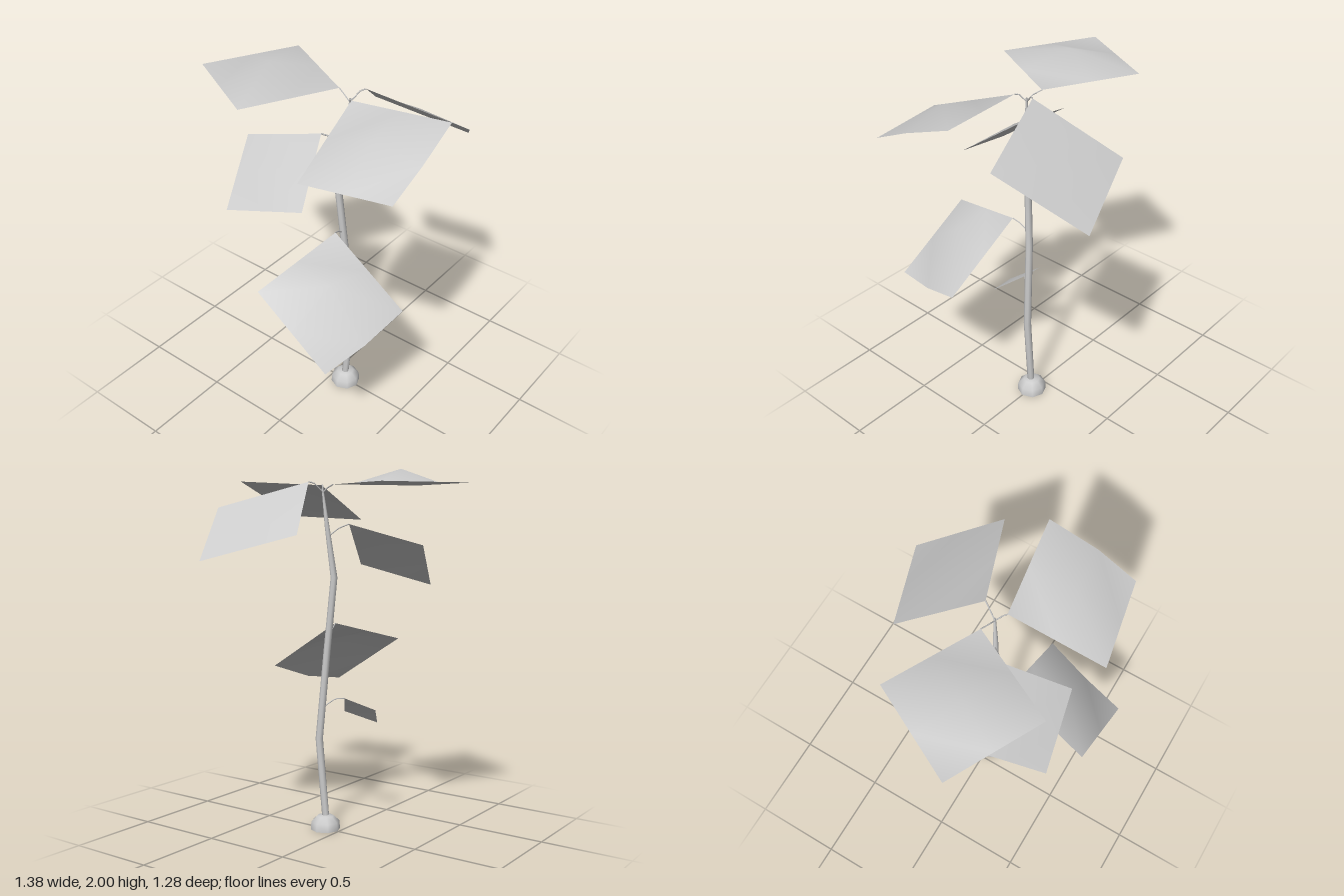
import * as THREE from 'three';

const material = new THREE.MeshStandardMaterial({ color: 0xcccccc, side: THREE.DoubleSide });
const V = (p) => new THREE.Vector3(...p);

function add(parent, geometry, name) {
  const mesh = new THREE.Mesh(geometry, material);
  mesh.name = name;
  parent.add(mesh);
  return mesh;
}

function build(points, index) {
  const geometry = new THREE.BufferGeometry().setFromPoints(points);
  geometry.setIndex(index);
  geometry.computeVertexNormals();
  return geometry;
}

// Tapered stalk: one horizontal ring of vertices per [x, y, z, radius] station
function stalk(stations, sides) {
  const points = [], index = [];
  stations.forEach(([x, y, z, r], i) => {
    for (let j = 0; j < sides; j++) {
      const a = (j / sides) * Math.PI * 2;
      points.push(new THREE.Vector3(x + r * Math.sin(a), y, z + r * Math.cos(a)));
      if (i === 0) continue;
      const k = (j + 1) % sides, lo = (i - 1) * sides, hi = i * sides;
      index.push(lo + j, lo + k, hi + j, lo + k, hi + k, hi + j);
    }
  });
  return build(points, index);
}

// Square leaf: 3 x 3 grid between four corners, raised in the middle
function blade([base, sideA, tip, sideB], lift, edgeShift = [0, 0, 0]) {
  const points = [], index = [];
  for (let i = 0; i < 3; i++) {
    for (let j = 0; j < 3; j++) {
      const near = V(base).lerp(V(sideA), i / 2);
      const far = V(sideB).lerp(V(tip), i / 2);
      points.push(near.lerp(far, j / 2));
    }
  }
  points[4].y += lift;
  points[5].add(V(edgeShift));
  for (let i = 0; i < 2; i++) {
    for (let j = 0; j < 2; j++) {
      const a = i * 3 + j, b = a + 3, c = a + 4, d = a + 1;
      index.push(a, b, d, b, c, d);
    }
  }
  return build(points, index);
}

// Thin bent stem from the trunk to a leaf
function petiole(points) {
  const path = new THREE.CurvePath();
  for (let i = 1; i < points.length; i++) {
    path.add(new THREE.LineCurve3(V(points[i - 1]), V(points[i])));
  }
  return new THREE.TubeGeometry(path, 6, 0.004, 4);
}

// corners: base, one side, tip, other side
const leaves = [
  {
    name: 'topRightLeaf', lift: 0.075,
    corners: [[0.02, 1.92, -0.02], [-0.446, 1.922, -0.267], [-0.69, 1.922, 0.21], [-0.217, 1.922, 0.456]],
    stem: [[0.105, 1.88, 0.005], [0.07, 1.905, 0]],
  },
  {
    name: 'topLeftLeaf', lift: 0.065, edgeShift: [0.014, 0.005, 0.02],
    corners: [[0.146, 1.92, 0.048], [0.222, 1.732, 0.548], [0.687, 1.755, 0.458], [0.665, 1.948, -0.026]],
    stem: [[0.105, 1.88, 0.005], [0.13, 1.92, 0.035]],
  },
  {
    name: 'topBackLeaf', lift: 0.02,
    corners: [[0.146, 1.935, -0.07], [0.635, 1.8, -0.25], [0.41, 1.525, -0.644], [-0.076, 1.66, -0.46]],
    stem: [[0.105, 1.88, 0.005], [0.13, 1.93, -0.045]],
  },
  {
    name: 'upperFrontLeaf', lift: 0.03,
    corners: [[0, 1.71, 0.1], [-0.415, 1.6, 0.19], [-0.27, 1.367, 0.526], [0.146, 1.475, 0.432]],
    stem: [[0.075, 1.65, 0.025], [0.04, 1.69, 0.065]],
  },
  {
    name: 'middleFrontLeaf', lift: 0.105, edgeShift: [0, -0.025, 0],
    corners: [[0.103, 1.16, 0.115], [0, 1.03, 0.617], [0.452, 0.745, 0.64], [0.56, 0.875, 0.135]],
    stem: [[0.08, 1.1, 0.02], [0.09, 1.14, 0.075]],
  },
  {
    name: 'lowerFrontLeaf', lift: 0.015,
    corners: [[0.03, 0.742, 0.1], [-0.15, 0.688, 0.143], [-0.06, 0.58, 0.3], [0.135, 0.632, 0.25]],
    stem: [[0.105, 0.7, 0.005], [0.065, 0.742, 0.06]],
  },
];

export function createModel() {
  const plant = new THREE.Group();
  plant.name = 'plant';

  // Low dome at the foot, open underneath
  const profile = [[0.084, 0], [0.08, 0.045], [0.047, 0.077], [0, 0.083]].map((p) => new THREE.Vector2(...p));
  add(plant, new THREE.LatheGeometry(profile, 8), 'baseDome').position.x = 0.09;

  // Crooked trunk
  add(plant, stalk([
    [0.09, 0.05, 0.005, 0.02],
    [0.128, 0.52, -0.005, 0.021],
    [0.086, 1.02, 0.014, 0.02],
    [0.06, 1.42, 0.043, 0.019],
    [0.09, 1.7, 0.02, 0.013],
    [0.107, 1.9, 0.003, 0.005],
  ], 8), 'trunk');

  // Leaves with their stems
  for (const { name, corners, lift, edgeShift, stem } of leaves) {
    const leaf = new THREE.Group();
    leaf.name = name;
    add(leaf, blade(corners, lift, edgeShift), 'leafBlade');
    add(leaf, petiole([...stem, corners[0]]), 'leafStem');
    plant.add(leaf);
  }
  return plant;
}
